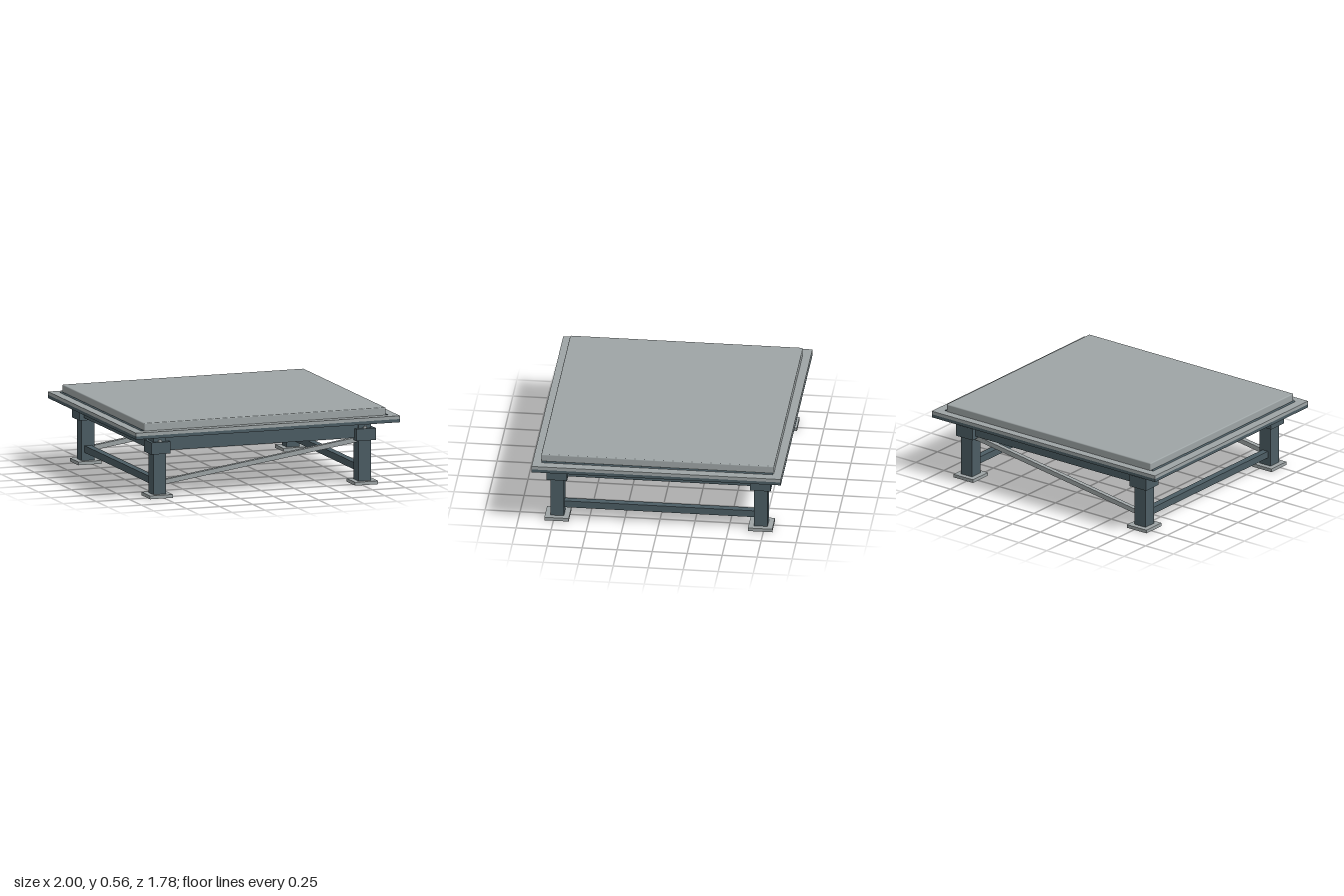
import * as THREE from 'three';
import { RoundedBoxGeometry } from 'three/addons/geometries/RoundedBoxGeometry.js';

export function createModel() {
  const model = new THREE.Group();
  model.name = 'platform';

  const lightSteel = new THREE.MeshStandardMaterial({ color: 0x9ea5a6 });
  lightSteel.name = 'light steel';
  const darkSteel = new THREE.MeshStandardMaterial({ color: 0x4c5d64 });
  darkSteel.name = 'dark steel';

  const add = (parent, name, geometry, material, x, y, z) => {
    const mesh = new THREE.Mesh(geometry, material);
    mesh.name = name;
    mesh.position.set(x, y, z);
    parent.add(mesh);
    return mesh;
  };
  // Box given by its plan size, centre and bottom/top heights
  const box = (parent, name, material, w, d, y0, y1, x = 0, z = 0) =>
    add(parent, name, new THREE.BoxGeometry(w, y1 - y0, d), material, x, (y0 + y1) / 2, z);

  const LEG_X = 0.777, LEG_Z = 0.727, LEG = 0.097;

  // Deck: dark base, light plate and raised pad
  box(model, 'deckBase', darkSteel, 2, 1.78, 0.453, 0.476);
  box(model, 'deckPlate', lightSteel, 2, 1.78, 0.476, 0.5);
  add(model, 'pad', new RoundedBoxGeometry(1.83, 0.066, 1.662, 2, 0.008), lightSteel, 0, 0.523, 0);

  // Rods sunk into the deck along both sides of the pad
  const rod = new THREE.CylinderGeometry(0.013, 0.013, 1.65, 16).rotateX(Math.PI / 2);
  for (const s of [-1, 1]) add(model, 'sideRod', rod, darkSteel, s * 0.924, 0.493, 0);

  // Legs with feet, collars and bolts
  const bolt = new THREE.CylinderGeometry(0.014, 0.014, 0.02, 12).rotateX(Math.PI / 2);
  for (const sx of [-1, 1]) {
    for (const sz of [-1, 1]) {
      const leg = new THREE.Group();
      leg.name = 'leg';
      leg.position.set(sx * LEG_X, 0, sz * LEG_Z);
      box(leg, 'post', darkSteel, LEG, LEG, 0, 0.453);
      box(leg, 'foot', lightSteel, 0.174, 0.174, 0.002, 0.026);
      box(leg, 'collar', darkSteel, 0.147, 0.147, 0.32, 0.406);
      add(leg, 'bolt', bolt, lightSteel, 0, 0.408, sz * 0.05);
      model.add(leg);
    }
  }

  // Top frame beams and low side stretchers
  const spanX = 2 * LEG_X - LEG, spanZ = 2 * LEG_Z - LEG;
  for (const s of [-1, 1]) {
    box(model, 'crossBeam', darkSteel, spanX, 0.075, 0.338, 0.453, 0, s * LEG_Z);
    box(model, 'sideBeam', darkSteel, 0.075, spanZ, 0.338, 0.453, s * LEG_X, 0);
    box(model, 'sideStretcher', darkSteel, 0.05, spanZ, 0.083, 0.133, s * LEG_X, 0);
  }

  // Diagonal braces on front and back
  const rise = 0.215, run = 1.47;
  const brace = new THREE.BoxGeometry(Math.hypot(rise, run), 0.034, 0.034);
  for (const s of [-1, 1]) {
    add(model, 'diagonalBrace', brace, lightSteel, 0, 0.213, s * LEG_Z).rotation.z = Math.atan2(rise, run);
  }

  return model;
}
